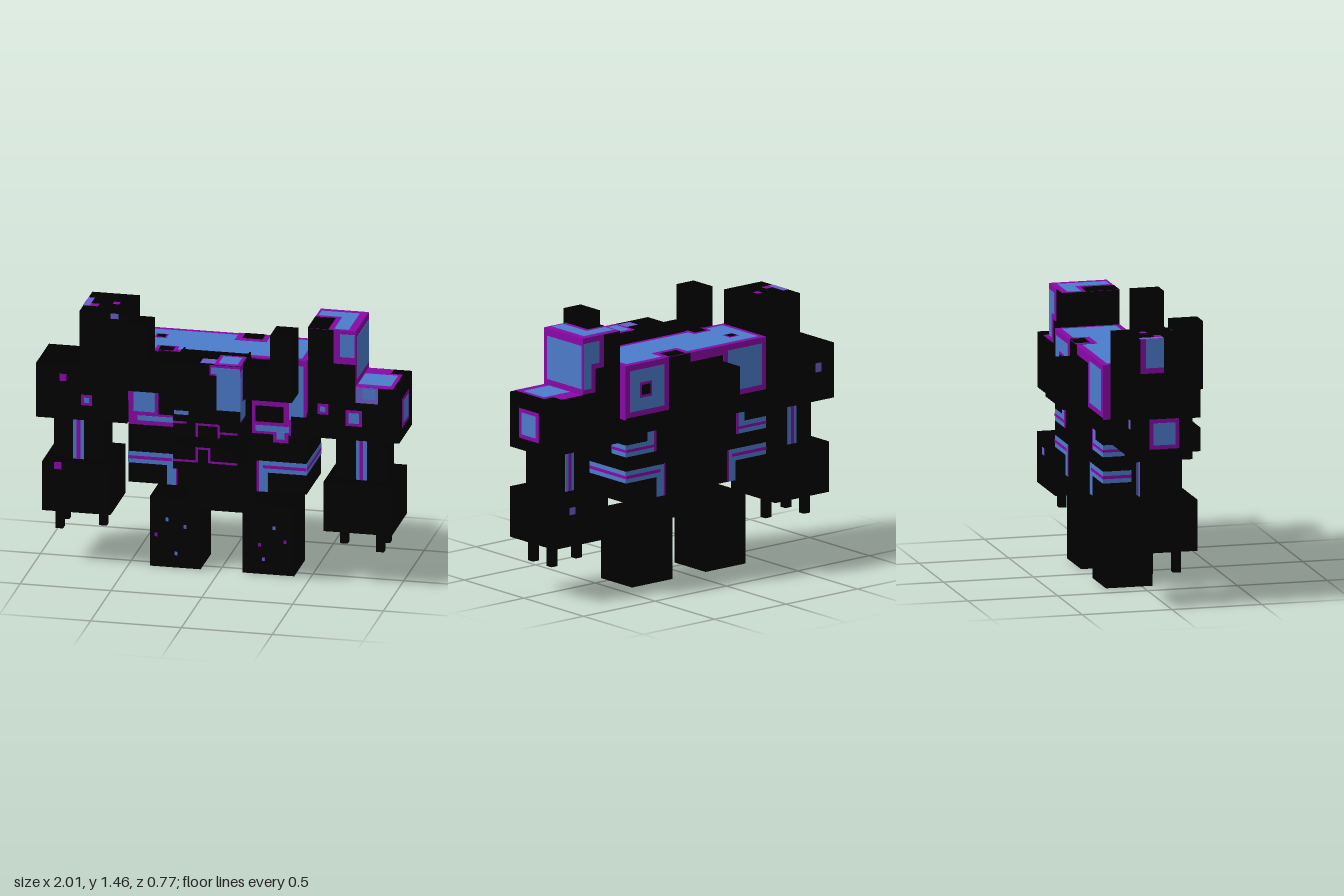
import * as THREE from 'three';

const mat = (name, color) => Object.assign(new THREE.MeshStandardMaterial({ color }), { name });

export function createModel() {
  const root = new THREE.Group();
  root.name = 'blockyGolem';
  const black = mat('black', 0x000000);
  const blue = mat('blue', 0x4c7ccc);
  const purple = mat('purple', 0x8a08a8);
  const lavender = mat('lavender', 0x6c5cc8);

  // Box given by its limits on each axis
  const box = (name, m, x0, x1, y0, y1, z0, z1) => {
    const mesh = new THREE.Mesh(new THREE.BoxGeometry(x1 - x0, y1 - y0, z1 - z0), m);
    mesh.position.set((x0 + x1) / 2, (y0 + y1) / 2, (z0 + z1) / 2);
    mesh.name = name;
    root.add(mesh);
  };
  // Thin painted plate on a face: z faces take (x, y), x faces (z, y), y faces (x, z)
  const plate = (name, m, axis, dir, at, u0, u1, v0, v1, layer = 1) => {
    const end = at + dir * 0.0015 * layer, a = Math.min(at, end), b = Math.max(at, end);
    if (axis === 'z') box(name, m, u0, u1, v0, v1, a, b);
    else if (axis === 'x') box(name, m, a, b, v0, v1, u0, u1);
    else box(name, m, u0, u1, a, b, v0, v1);
  };
  // Blue plate with a purple frame
  const framed = (name, axis, dir, at, u0, u1, v0, v1, w) => {
    plate(name + 'Frame', purple, axis, dir, at, u0, u1, v0, v1, 1);
    plate(name, blue, axis, dir, at, u0 + w, u1 - w, v0 + w, v1 - w, 2);
  };

  // Body
  const ZF = 0.115, ZB = -0.245;
  box('torso', black, -0.49, 0.49, 0.49, 1.25, ZB, ZF);
  box('backHump', black, -0.19, 0.175, 0.95, 1.165, -0.385, ZB);
  box('pelvis', black, -0.17, 0.195, 0.34, 0.49, -0.2, 0.06);
  box('rightLeg', black, -0.385, -0.105, 0, 0.395, -0.2, 0.06);
  box('leftLeg', black, 0.125, 0.41, 0, 0.395, -0.2, 0.06);

  // Head, jaw and the thin plates joining them to the chest
  box('head', black, -0.185, 0.185, 0.865, 1.285, 0.16, 0.38);
  box('jaw', black, -0.185, 0.175, 0.68, 0.81, 0.16, 0.38);
  for (const s of [-1, 1]) {
    const x = s * 0.18;
    box('neckPlate', black, x - 0.004, x + 0.004, 0.865, 1.28, ZF, 0.16);
    box('jawPlate', black, x - 0.004, x + 0.004, 0.68, 0.81, ZF, 0.16);
  }

  // Horns, arms and hands on both sides
  for (const s of [-1, 1]) {
    const side = s > 0 ? 'left' : 'right';
    const part = (name, m, a, b, ...r) => box(side + name, m, Math.min(s * a, s * b), Math.max(s * a, s * b), ...r);
    const o = s > 0 ? 0.012 : 0;
    part('HornBase', black, 0.185, 0.335, 1.08, 1.26, 0.16, 0.32);
    part('HornTip', black, 0.335, 0.455, 1.08, 1.455, 0.16, 0.32);
    part('Shoulder', black, 0.497, 0.76, 0.82, 1.44, -0.205, ZF);
    part('ShoulderGuard', black, 0.76, 1, 0.82, 1.125, -0.205, ZF);
    part('UpperArm', black, 0.632 + o, 0.907 + o, 0.585, 0.82, -0.125, 0.08);
    part('Forearm', black, 0.58 + o, 0.956 + o, 0.305, 0.585, -0.215, 0.155);
    for (const [x, z] of [[0.88, 0.055], [0.88, -0.1], [0.66, -0.04]])
      part('Finger', black, x - 0.021 + o / 2, x + 0.021 + o / 2, 0.18, 0.305, z - 0.021, z + 0.021);

    // Stripes on the upper arm, front and back
    for (const [z0, z1] of [[0.08, 0.082], [-0.127, -0.125]]) {
      part('ArmStripe', blue, 0.742 + o, 0.803 + o, 0.585, 0.82, z0, z1);
      const out = z0 > 0 ? [z1, z1 + 0.002] : [z0 - 0.002, z0];
      part('ArmStripeLine', purple, 0.762 + o, 0.783 + o, 0.585, 0.82, ...out);
    }
    // Square mark on the outer face
    framed(side + 'GuardMark', 'x', s, s, -0.125, 0.04, 0.885, 1.05, 0.022);

    // Waist band: front, back and side, turning down near the middle
    const e = s > 0 ? 0 : 0.006;
    for (const [z, d] of [[ZF, 1], [ZB, -1]]) {
      const w = (name, m, a, b, y0, y1, l) =>
        plate(side + name, m, 'z', d, z, Math.min(s * a, s * b), Math.max(s * a, s * b), y0, y1, l);
      w('WaistBand', blue, 0.215 + e, 0.49, 0.6, 0.665, 1);
      w('WaistBandLine', purple, 0.25, 0.49, 0.624, 0.641, 2);
      w('WaistDrop', blue, 0.215 + e, 0.277, 0.49, 0.6, 1);
      w('WaistDropEdge', purple, 0.215 + e, 0.228, 0.49, 0.665, 2);
    }
    plate(side + 'WaistSide', blue, 'x', s, s * 0.49, ZB, ZF, 0.6, 0.665);
    plate(side + 'WaistSideLine', purple, 'x', s, s * 0.49, ZB, ZF, 0.624, 0.641, 2);
    plate(side + 'RibSide', blue, 'x', s, s * 0.49, ZB, -0.125, 0.745, 0.81);
    plate(side + 'RibSideLine', purple, 'x', s, s * 0.49, ZB, -0.125, 0.77, 0.785, 2);

    // Rear ribs and upper back panels
    const back = (name, m, a, b, y0, y1, l) =>
      plate(side + name, m, 'z', -1, ZB, Math.min(s * a, s * b), Math.max(s * a, s * b), y0, y1, l);
    back('RearRib', blue, 0.28, 0.49, 0.745, 0.81, 1);
    back('RearRibLine', purple, 0.28, 0.49, 0.77, 0.785, 2);
    back('RearRibRise', blue, 0.28, 0.34, 0.81, 0.86, 1);
    back('RearRibEdge', purple, 0.28, 0.295, 0.745, 0.86, 2);
    back('BackPanelFrame', purple, 0.19, 0.49, 0.96, 1.25, 1);
    back('BackPanel', blue, 0.222, 0.458, 0.99, 1.218, 2);
    plate(side + 'FlankPanel', purple, 'x', s, s * 0.49, ZB, ZF, 0.95, 1.25);
  }
  plate('backDotFrame', purple, 'z', -1, ZB, 0.31, 0.395, 1.06, 1.145, 3);
  plate('backDot', black, 'z', -1, ZB, 0.325, 0.38, 1.075, 1.13, 4);
  plate('backTopEdge', purple, 'z', -1, ZB, -0.19, 0.04, 1.2, 1.25);

  // Top of the torso
  framed('torsoTop', 'y', 1, 1.25, -0.49, 0.49, ZB, ZF, 0.03);
  plate('topNotchFrame', purple, 'y', 1, 1.25, 0.04, 0.215, ZB, -0.13, 3);
  plate('topNotch', black, 'y', 1, 1.25, 0.075, 0.185, ZB, -0.165, 4);
  plate('topDotFrame', purple, 'y', 1, 1.25, -0.39, -0.325, -0.14, -0.08, 3);
  plate('topDot', black, 'y', 1, 1.25, -0.38, -0.335, -0.13, -0.09, 4);
  plate('topFrontNotchFrame', purple, 'y', 1, 1.25, -0.345, -0.225, 0.04, ZF, 3);
  plate('topFrontNotch', black, 'y', 1, 1.25, -0.325, -0.245, 0.055, ZF, 4);

  // Chest panels
  const chest = (name, m, ...r) => plate(name, m, 'z', 1, ZF, ...r);
  chest('rightChestFrame', purple, -0.49, -0.325, 0.82, 1.25);
  chest('rightChestBlue', blue, -0.462, -0.345, 0.895, 1.22, 2);
  chest('rightChestStrip', purple, -0.325, -0.12, 0.82, 0.885);
  chest('rightChestStripBlue', blue, -0.44, -0.13, 0.845, 0.872, 3);
  chest('leftChestFrame', purple, 0.19, 0.49, 0.82, 1.25);
  chest('leftChestBlue', blue, 0.25, 0.475, 0.91, 1.22, 2);
  chest('leftChestStrip', blue, 0.21, 0.395, 0.835, 0.868, 2);
  chest('leftChestCoreFrame', purple, 0.19, 0.395, 0.87, 1.025, 3);
  chest('leftChestCore', black, 0.21, 0.365, 0.89, 0.98, 4);
  chest('leftChestCorner', black, 0.405, 0.49, 0.82, 0.93, 3);
  chest('leftChestTab', purple, 0.305, 0.39, 0.775, 0.82);
  chest('leftChestTabBlue', blue, 0.325, 0.37, 0.795, 0.835, 3);

  // Left shoulder paint
  plate('shoulderSideFrame', purple, 'x', 1, 0.76, -0.205, ZF, 1.127, 1.44);
  plate('shoulderSide', blue, 'x', 1, 0.76, -0.2, 0.09, 1.16, 1.4, 2);
  plate('shoulderTopFrame', purple, 'y', 1, 1.44, 0.497, 0.76, -0.205, ZF);
  plate('shoulderTopBlue', blue, 'y', 1, 1.44, 0.51, 0.72, -0.17, -0.095, 2);
  plate('shoulderTopDrop', blue, 'y', 1, 1.44, 0.64, 0.72, -0.095, 0.1, 2);
  plate('shoulderTopBlack', black, 'y', 1, 1.44, 0.497, 0.61, -0.07, ZF, 2);
  plate('guardTopRear', purple, 'y', 1, 1.125, 0.76, 0.9, -0.2, -0.1);
  plate('guardTopFrame', purple, 'y', 1, 1.125, 0.76, 0.965, -0.13, ZF);
  plate('guardTop', blue, 'y', 1, 1.125, 0.765, 0.945, -0.105, 0.07, 2);
  plate('shoulderFrontFrame', purple, 'z', 1, ZF, 0.64, 0.76, 1.25, 1.44);
  plate('shoulderFront', blue, 'z', 1, ZF, 0.675, 0.755, 1.29, 1.42, 2);
  plate('guardFront', lavender, 'z', 1, ZF, 0.76, 0.885, 1.035, 1.125);
  plate('guardFrontBlue', blue, 'z', 1, ZF, 0.8, 0.87, 1.06, 1.115, 2);
  plate('shoulderBackFrame', purple, 'z', -1, -0.205, 0.61, 0.76, 1.26, 1.44);
  plate('shoulderBack', blue, 'z', -1, -0.205, 0.645, 0.755, 1.29, 1.41, 2);
  plate('shoulderBackDropFrame', purple, 'z', -1, -0.205, 0.67, 0.76, 1.13, 1.26);
  plate('shoulderBackDrop', blue, 'z', -1, -0.205, 0.7, 0.755, 1.155, 1.29, 2);

  // Small square marks
  for (const [x, y, r] of [[0.58, 0.985, 0.03], [0.75, 0.945, 0.045], [-0.72, 0.935, 0.03]])
    framed('frontMark', 'z', 1, ZF, x - r, x + r, y - r, y + r, 0.016);
  plate('rightGuardDot', purple, 'z', 1, ZF, -0.87, -0.83, 1.035, 1.075);
  plate('rightForearmDot', purple, 'z', 1, 0.155, -0.89, -0.85, 0.545, 0.585);
  plate('leftForearmDot', lavender, 'z', -1, -0.215, 0.82, 0.86, 0.48, 0.52);
  plate('rightPalmMark', lavender, 'y', -1, 0.305, -0.82, -0.75, -0.03, 0.03);
  plate('rightShoulderNotch', lavender, 'z', 1, ZF, -0.59, -0.545, 1.41, 1.44);
  plate('rightGuardBackDot', lavender, 'z', -1, -0.205, -0.91, -0.87, 0.98, 1.03);
  plate('rightTopMark', lavender, 'y', 1, 1.44, -0.76, -0.725, -0.11, 0.02);
  plate('rightTopMarkFoot', purple, 'y', 1, 1.44, -0.725, -0.68, -0.02, 0.02);
  plate('rightTopDot', purple, 'y', 1, 1.44, -0.61, -0.575, -0.07, -0.035);
  plate('rightShoulderSideMark', purple, 'x', -1, -0.76, -0.11, 0.02, 1.25, 1.44);
  plate('rightShoulderSideBlue', blue, 'x', -1, -0.76, -0.08, 0.02, 1.28, 1.44, 2);

  // Specks on the legs
  for (const [x, y, m] of [
    [-0.35, 0.18, purple], [-0.29, 0.27, blue], [-0.24, 0.08, blue], [-0.19, 0.235, lavender],
    [0.22, 0.165, purple], [0.24, 0.085, lavender], [0.3, 0.265, blue], [0.36, 0.19, purple],
  ]) plate('legSpeck', m, 'z', 1, 0.06, x - 0.008, x + 0.008, y - 0.01, y + 0.01);

  // Face paint
  plate('faceFrame', purple, 'z', 1, 0.38, 0.015, 0.185, 1.225, 1.285);
  plate('faceBlue', blue, 'z', 1, 0.38, 0.055, 0.185, 1.03, 1.272, 2);
  plate('faceBlueCorner', blue, 'z', 1, 0.38, 0.025, 0.055, 1.235, 1.272, 2);
  plate('headSideFrame', purple, 'x', 1, 0.185, 0.315, 0.38, 0.965, 1.285);
  plate('headSideBlue', blue, 'x', 1, 0.185, 0.335, 0.38, 0.975, 1.255, 2);
  plate('cheekBlue', blue, 'x', 1, 0.185, 0.265, 0.335, 0.97, 1.065, 2);
  plate('headTopFrame', purple, 'y', 1, 1.285, 0.04, 0.185, 0.215, 0.375);
  plate('headTopBlue', blue, 'y', 1, 1.285, 0.06, 0.165, 0.235, 0.35, 2);
  plate('headTopStep', lavender, 'y', 1, 1.285, -0.04, 0.04, 0.29, 0.36);

  // Mouth lines
  for (const [x0, x1, y0, y1] of [
    [-0.185, -0.11, 0.94, 0.952], [-0.06, 0.07, 0.935, 0.947], [-0.06, -0.048, 0.87, 0.935],
    [0.06, 0.072, 0.87, 0.935], [0.07, 0.17, 0.893, 0.905], [-0.06, 0.02, 0.798, 0.81],
    [-0.06, -0.048, 0.725, 0.8], [0.008, 0.02, 0.725, 0.8], [-0.185, -0.06, 0.723, 0.735],
    [0.02, 0.17, 0.723, 0.735],
  ]) plate('mouthLine', purple, 'z', 1, 0.38, x0, x1, y0, y1);
  plate('mouthBlue', blue, 'z', 1, 0.38, -0.18, -0.1, 0.99, 1.012);

  return root;
}
